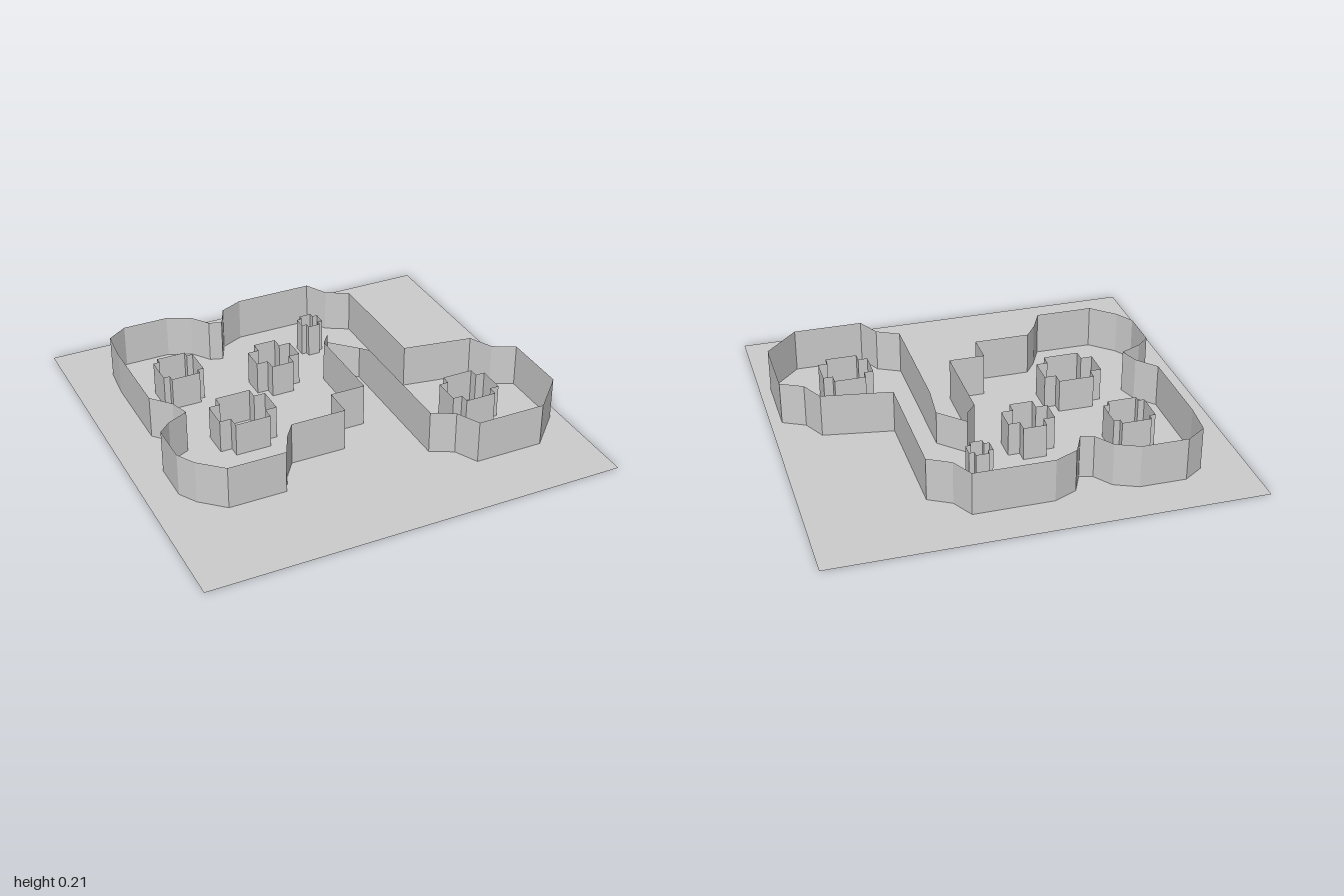
import * as THREE from 'three';

const WALL = 0.21;   // outer wall height
const LOW = 0.165;   // inner wall height

// Thin upright wall along a closed plan loop of [x, z, height?] points.
// stepAt lists segments whose top is flat at the lower of their two ends.
function wallLoop(points, height) {
  const pos = [];
  points.forEach(([x0, z0, h0 = height], i) => {
    const [x1, z1, h1 = height] = points[(i + 1) % points.length];
    pos.push(x0, 0, z0, x1, 0, z1, x1, h1, z1);
    pos.push(x0, 0, z0, x1, h1, z1, x0, h0, z0);
  });
  const geo = new THREE.BufferGeometry();
  geo.setAttribute('position', new THREE.Float32BufferAttribute(pos, 3));
  geo.computeVertexNormals();
  return geo;
}

// Plan of a notched block: a rectangle with a small step cut from each corner
function notchedPlan(cx, cz, hx, hz, n) {
  const pts = [];
  for (const [sx, sz] of [[1, 1], [-1, 1], [-1, -1], [1, -1]]) {
    const corner = [[hx, hz - n], [hx - n, hz - n], [hx - n, hz]];
    if (sx * sz < 0) corner.reverse();
    corner.forEach(([x, z]) => pts.push([cx + sx * x, cz + sz * z]));
  }
  return pts;
}

export function createModel() {
  const group = new THREE.Group();
  const stone = new THREE.MeshStandardMaterial({ color: 0xcccccc, side: THREE.DoubleSide, flatShading: true });
  stone.name = 'pale grey stone';
  const add = (geo, name) => {
    const mesh = new THREE.Mesh(geo, stone);
    mesh.name = name;
    group.add(mesh);
    return mesh;
  };

  // Ground sheet
  add(new THREE.PlaneGeometry(2, 2).rotateX(-Math.PI / 2), 'ground');

  // Winding outer wall of the chambers
  const outline = [
    // front left chamber
    [-0.69, 0.52], [-0.415, 0.52], [-0.36, 0.41], [-0.305, 0.335], [-0.04, 0.335],
    // recess between the chambers, with a lowered end
    [-0.04, 0.19], [0.13, 0.19], [0.13, -0.24], [0.18, -0.30], [0.18, -0.30, LOW],
    [0.295, -0.185, LOW], [0.295, -0.08],
    // front right chamber
    [0.295, 0.52], [0.40, 0.575], [0.455, 0.685], [0.785, 0.685], [0.945, 0.52],
    [0.945, 0.195], [0.84, 0.14], [0.785, 0.03], [0.455, -0.025],
    // back right chamber
    [0.455, -0.62], [0.35, -0.68], [0.295, -0.785], [-0.08, -0.785], [-0.19, -0.735],
    [-0.24, -0.63], [-0.30, -0.65],
    // back left chamber
    [-0.36, -0.735], [-0.47, -0.785], [-0.69, -0.785], [-0.785, -0.72], [-0.80, -0.56],
    [-0.80, -0.14], [-0.72, -0.05], [-0.69, 0.04],
    // left side of the front left chamber
    [-0.79, 0.085], [-0.85, 0.14], [-0.85, 0.335], [-0.80, 0.42],
  ];
  add(wallLoop(outline, WALL), 'outerWall');

  // Hollow notched blocks inside the chambers: x, z, half width, half depth, notch
  const blocks = [
    ['backLeftBlock', -0.555, -0.41, 0.10, 0.10, 0.03],
    ['frontLeftBlock', -0.42, 0.05, 0.14, 0.12, 0.055],
    ['centreBlock', -0.10, -0.32, 0.11, 0.11, 0.055],
    ['backRightBlock', 0.19, -0.53, 0.055, 0.055, 0.025],
    ['frontRightBlock', 0.605, 0.335, 0.12, 0.11, 0.045],
  ];
  for (const [name, ...plan] of blocks) add(wallLoop(notchedPlan(...plan), LOW), name);

  return group;
}
